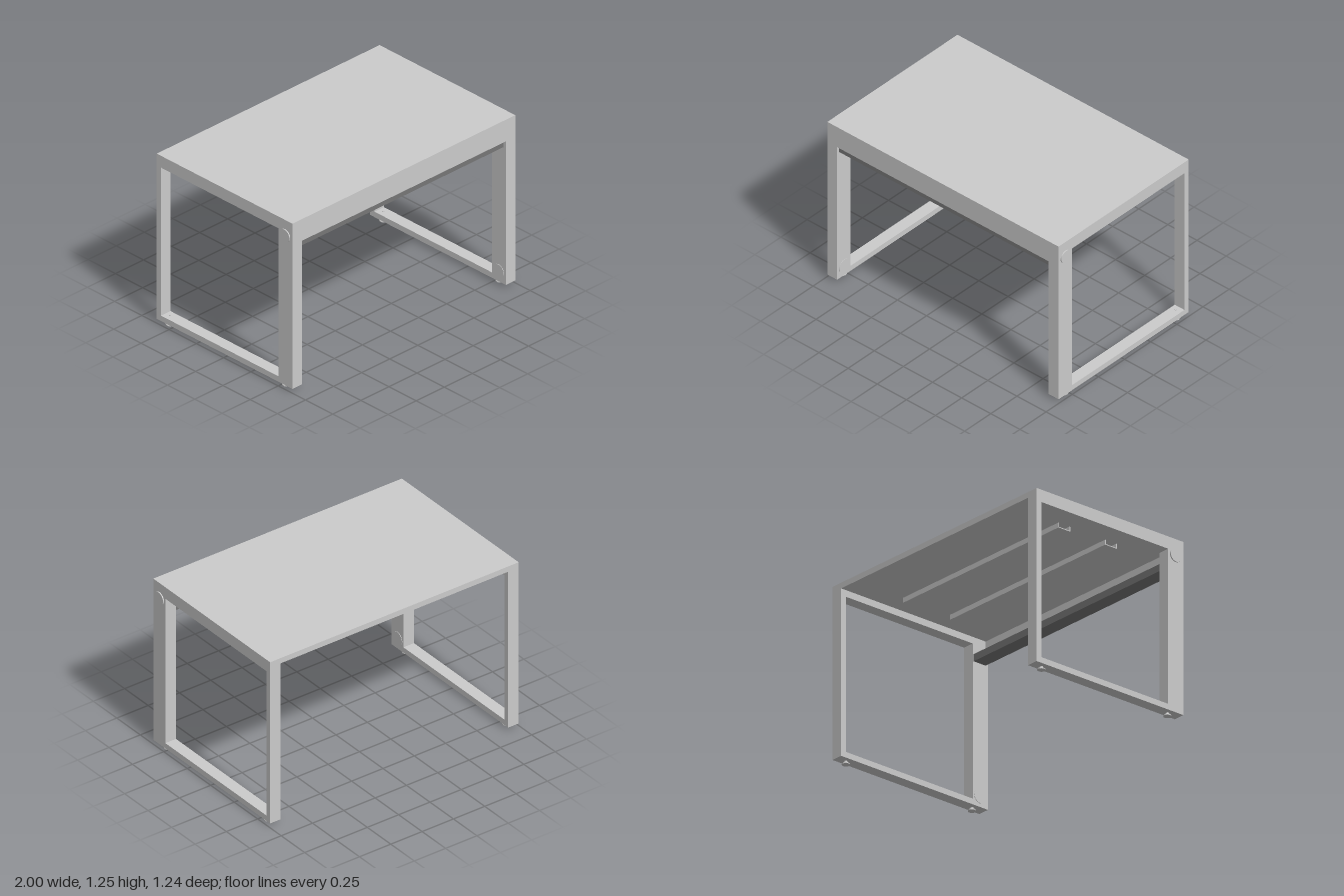
import * as THREE from 'three';

const grey = new THREE.MeshStandardMaterial({ color: 0xcccccc });
const dark = new THREE.MeshStandardMaterial({ color: 0x777777 });

// Main dimensions
const OUT = 0.992, IN = 0.908;            // outer and inner x of the leg frames
const FRONT = 0.622, BACK = -0.622;       // z limits
const TOP = 1.245, UNDER = 1.205, BASE = 0.025;

function add(parent, name, geometry, material = grey) {
  const mesh = new THREE.Mesh(geometry, material);
  mesh.name = name;
  parent.add(mesh);
  return mesh;
}

// Box given by its limits on each axis
function block(parent, name, [x0, x1], [y0, y1], [z0, z1], material) {
  const mesh = add(parent, name, new THREE.BoxGeometry(x1 - x0, y1 - y0, z1 - z0), material);
  mesh.position.set((x0 + x1) / 2, (y0 + y1) / 2, (z0 + z1) / 2);
  return mesh;
}

function rectangle(path, x0, y0, x1, y1) {
  path.moveTo(x0, y0);
  path.lineTo(x1, y0);
  path.lineTo(x1, y1);
  path.lineTo(x0, y1);
  path.closePath();
  return path;
}

// Closed side frame: wide front post, slim rear post, top and bottom rails
function frameGeometry() {
  const shape = rectangle(new THREE.Shape(), -FRONT, BASE, -BACK, TOP);
  shape.holes.push(rectangle(new THREE.Path(), -0.493, 0.065, 0.582, 1.158));
  const g = new THREE.ExtrudeGeometry(shape, { depth: OUT - IN, bevelEnabled: false });
  g.rotateY(Math.PI / 2);
  return g;
}

export function createModel() {
  const model = new THREE.Group();
  model.name = 'desk';

  block(model, 'tabletop', [-IN, IN], [UNDER, TOP], [BACK, FRONT]);
  block(model, 'frontApron', [-IN, IN], [1.085, UNDER], [0.602, FRONT]);
  block(model, 'recessedRail', [-IN, IN], [1.035, 1.085], [0.5, 0.602], dark);

  const frameGeo = frameGeometry();
  const capGeo = new THREE.CylinderGeometry(0.047, 0.047, 0.008, 32).rotateZ(Math.PI / 2);
  const innerCapGeo = new THREE.CylinderGeometry(0.05, 0.05, 0.004, 32).rotateZ(Math.PI / 2);
  const footGeo = new THREE.LatheGeometry(
    [[0, 0], [0.027, 0], [0.027, 0.006], [0.011, 0.018], [0.011, 0.026], [0, 0.026]]
      .map(([r, y]) => new THREE.Vector2(r, y)), 24);
  footGeo.deleteAttribute('normal');
  const footFlat = footGeo.toNonIndexed();
  footFlat.computeVertexNormals();
  const boltGeo = new THREE.CylinderGeometry(0.007, 0.007, 0.006, 12);

  for (const side of [-1, 1]) {
    const end = new THREE.Group();
    end.name = side > 0 ? 'leftEnd' : 'rightEnd';
    model.add(end);

    add(end, 'legFrame', frameGeo).position.x = side > 0 ? IN : -OUT;

    // Round cable covers: outside near the top, inside near the floor
    add(end, 'outerCableCover', capGeo).position.set(side * (OUT + 0.004), 1.13, 0.555);
    add(end, 'innerCableCover', innerCapGeo).position.set(side * (IN - 0.001), 0.1, 0.555);

    for (const z of [0.523, -0.545]) {
      add(end, 'levellingFoot', footFlat).position.set(side * 0.95, 0, z);
    }
    add(end, 'footBolt', boltGeo).position.set(side * 0.95, 0.067, -0.545);
  }

  // Two hollow stiffening channels under the top
  for (const z of [-0.18, 0.215]) {
    const channel = new THREE.Group();
    channel.name = 'stiffeningChannel';
    model.add(channel);
    const span = [-0.755, 0.755];
    block(channel, 'channelBase', span, [1.17, 1.176], [z - 0.05, z + 0.05]);
    for (const s of [-1, 1]) {
      const c = z + s * 0.047;
      block(channel, 'channelWall', span, [1.176, UNDER], [c - 0.003, c + 0.003]);
    }
  }
  return model;
}
